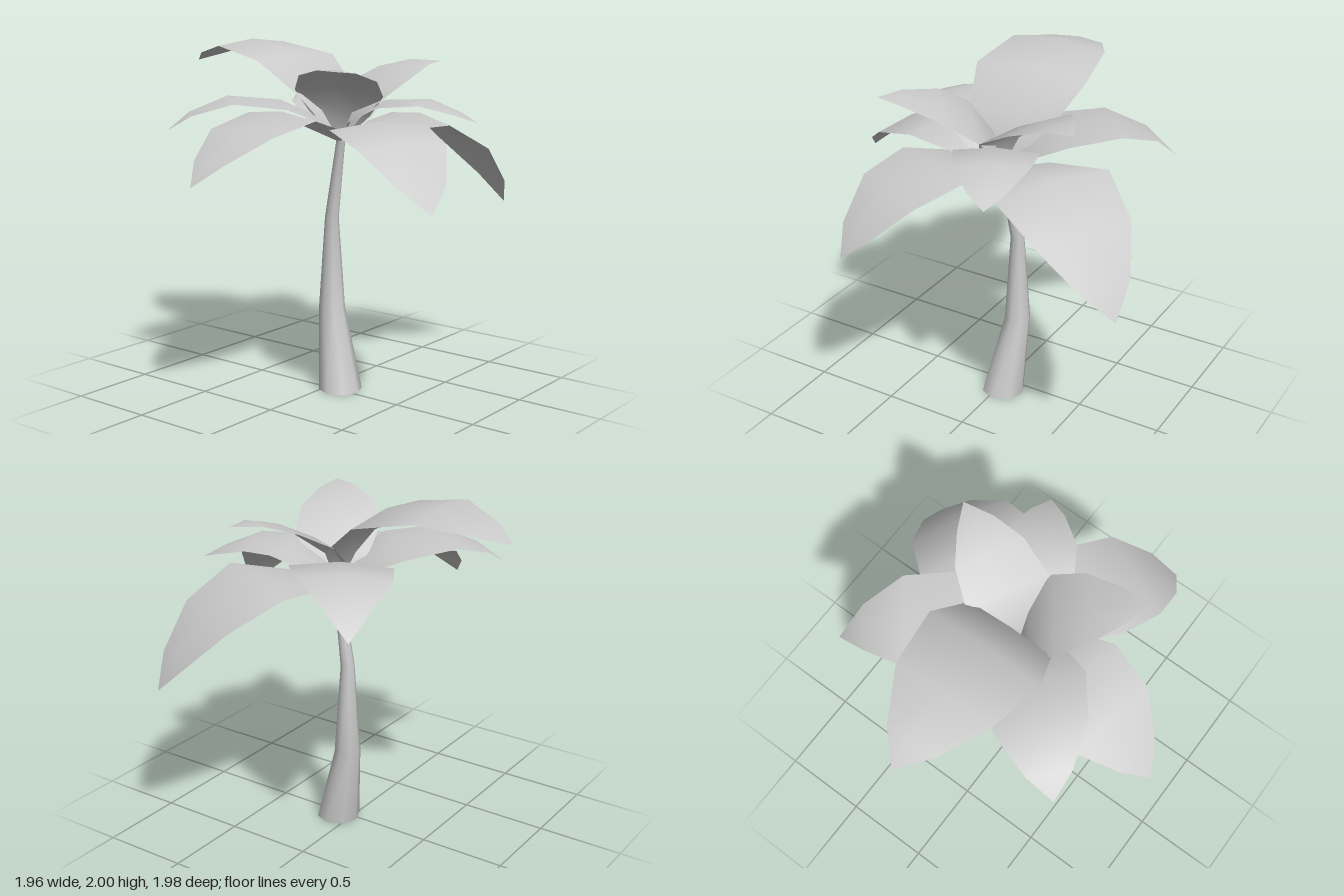
import * as THREE from 'three';

const material = new THREE.MeshStandardMaterial({ color: 0xcccccc, side: THREE.DoubleSide });
const crown = new THREE.Vector3(0.02, 1.45, 0.08); // where all fronds meet the trunk

function makeMesh(name, points, faces) {
  const geometry = new THREE.BufferGeometry();
  geometry.setAttribute('position', new THREE.Float32BufferAttribute(points, 3));
  geometry.setIndex(faces);
  geometry.computeVertexNormals();
  const mesh = new THREE.Mesh(geometry, material);
  mesh.name = name;
  return mesh;
}

// Bent, tapering trunk: rings given as [x, y, z, radius]
function makeTrunk() {
  const rings = [
    [0.027, 0, 0.082, 0.126],
    [0.068, 0.47, -0.012, 0.076],
    [0.066, 1.0, -0.012, 0.04],
    [0.027, 1.46, 0.082, 0.025],
  ];
  const sides = 8, points = [], faces = [];
  rings.forEach(([x, y, z, r], i) => {
    for (let j = 0; j < sides; j++) {
      const a = (j / sides) * Math.PI * 2;
      points.push(x + r * Math.sin(a), y, z + r * Math.cos(a));
      if (i === 0) continue;
      const k = (j + 1) % sides, lo = (i - 1) * sides, hi = i * sides;
      faces.push(lo + j, lo + k, hi + k, lo + j, hi + k, hi + j);
    }
  });
  return makeMesh('trunk', points, faces);
}

// Frond: three-point rows (edge, rib, edge) along the line from the crown to the tip.
// Stations are [distance, rib height, half width]; roll lowers one edge and lifts the other.
function makeFrond({ name, tip, tipY, roll = 0, stations }) {
  const dx = tip[0] - crown.x, dz = tip[1] - crown.z;
  const length = Math.hypot(dx, dz), ux = dx / length, uz = dz / length;
  const points = [], faces = [];
  const rows = [[0, crown.y, 0.012], ...stations];
  rows.forEach(([d, y, w], i) => {
    for (const s of [-1, 0, 1]) {
      const droop = 0.1 * w * Math.abs(s);
      points.push(crown.x + ux * d - uz * w * s, y - droop - roll * s * Math.min(1, w * 4), crown.z + uz * d + ux * w * s);
    }
    if (i === 0) return;
    for (const c of [0, 1]) {
      const a = (i - 1) * 3 + c, b = i * 3 + c;
      faces.push(a, a + 1, b + 1, a, b + 1, b);
    }
  });
  // pointed tip
  points.push(tip[0], tipY, tip[1]);
  const end = rows.length * 3;
  faces.push(end - 3, end - 2, end, end - 2, end - 1, end);
  return makeMesh(name, points, faces);
}

const fronds = [
  { name: 'backTopFrond', tip: [0.005, -0.985], tipY: 1.86,
    stations: [[0.09, 1.75, 0.26], [0.31, 1.94, 0.34], [0.64, 2.0, 0.29], [0.91, 1.93, 0.145]] },
  { name: 'upperFrontRightFrond', tip: [-0.515, 0.465], tipY: 1.89, roll: -0.02,
    stations: [[0.04, 1.63, 0.17], [0.16, 1.76, 0.24], [0.33, 1.85, 0.207], [0.53, 1.89, 0.1]] },
  { name: 'upperFrontLeftFrond', tip: [0.605, 0.365], tipY: 1.88, roll: 0.02,
    stations: [[0.04, 1.63, 0.17], [0.15, 1.75, 0.24], [0.35, 1.85, 0.2], [0.51, 1.89, 0.107]] },
  { name: 'rightFrond', tip: [-0.98, -0.11], tipY: 1.3,
    stations: [[0.15, 1.56, 0.17], [0.42, 1.65, 0.285], [0.69, 1.58, 0.265], [0.9, 1.43, 0.13]] },
  { name: 'backRightFrond', tip: [-0.675, -0.575], tipY: 1.53,
    stations: [[0.1, 1.58, 0.17], [0.33, 1.69, 0.28], [0.61, 1.715, 0.24], [0.83, 1.63, 0.12]] },
  { name: 'backLeftFrond', tip: [0.785, -0.515], tipY: 1.48, roll: -0.015,
    stations: [[0.1, 1.57, 0.17], [0.32, 1.69, 0.28], [0.61, 1.715, 0.25], [0.83, 1.625, 0.125]] },
  { name: 'frontRightFrond', tip: [-0.41, 0.99], tipY: 1.2,
    stations: [[0.15, 1.55, 0.17], [0.45, 1.61, 0.29], [0.71, 1.53, 0.26], [0.91, 1.34, 0.137]] },
  { name: 'frontSmallFrond', tip: [0.335, 0.785], tipY: 1.575,
    stations: [[0.08, 1.59, 0.14], [0.26, 1.69, 0.23], [0.48, 1.7, 0.2], [0.67, 1.63, 0.096]] },
  { name: 'frontLeftFrond', tip: [0.98, 0.585], tipY: 1.03,
    stations: [[0.18, 1.53, 0.19], [0.5, 1.59, 0.355], [0.79, 1.43, 0.295], [0.99, 1.2, 0.15]] },
];

export function createModel() {
  const group = new THREE.Group();
  group.name = 'palmTree';
  group.add(makeTrunk());
  for (const frond of fronds) group.add(makeFrond(frond));
  return group;
}
